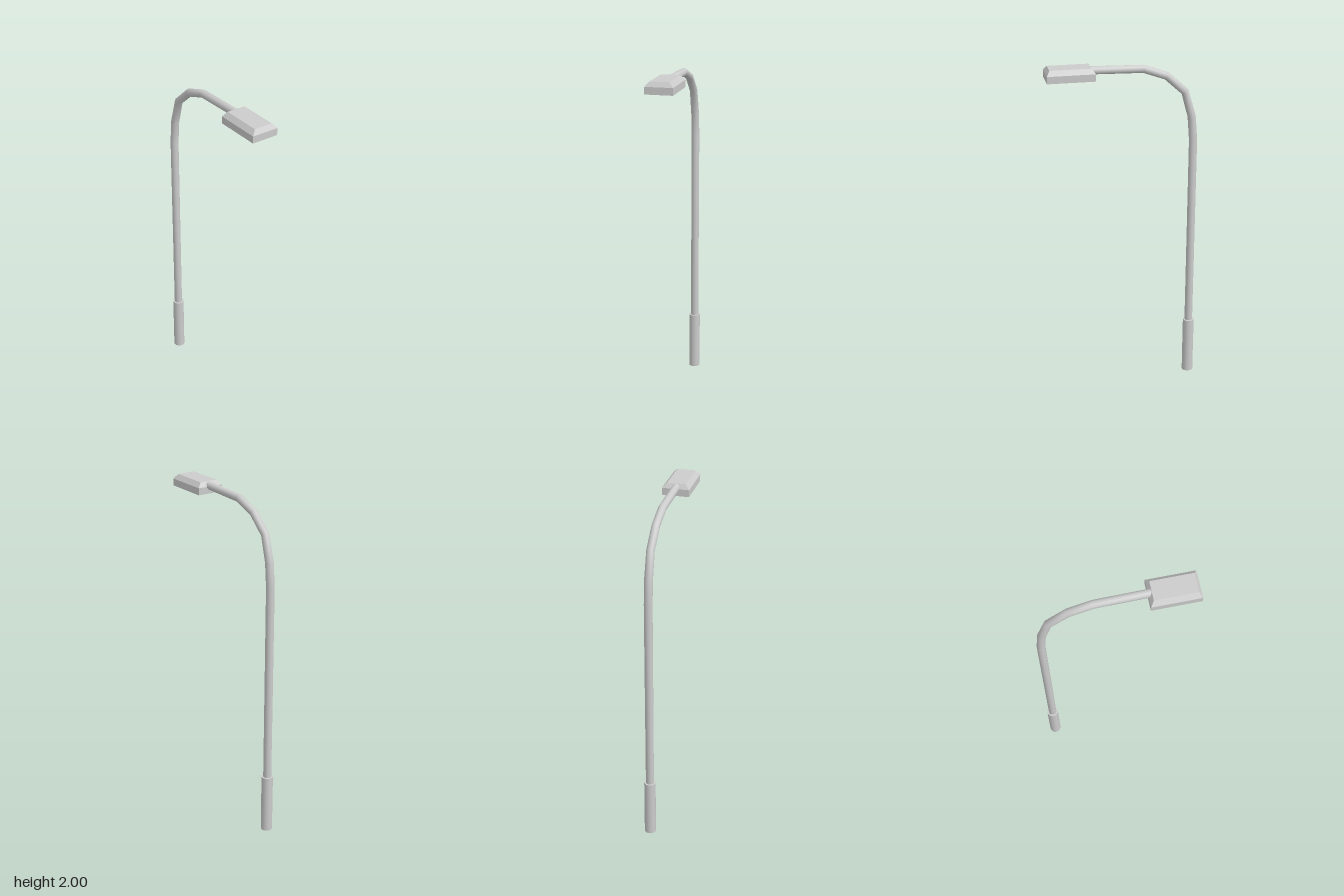
import * as THREE from 'three';

const SIDES = 16;
const POLE_Z = -0.41;

// Round tube along [z, y, radius] points in the x = 0 plane, with mitred rings
function bentTube(path) {
  const positions = [], index = [];
  path.forEach(([z, y, r], i) => {
    const dir = (a, b) => new THREE.Vector2(b[0] - a[0], b[1] - a[1]).normalize();
    const t = new THREE.Vector2();
    if (i > 0) t.add(dir(path[i - 1], path[i]));
    if (i < path.length - 1) t.add(dir(path[i], path[i + 1]));
    t.normalize();
    for (let j = 0; j < SIDES; j++) {
      const a = (j / SIDES) * Math.PI * 2;
      const c = r * Math.cos(a), s = r * Math.sin(a);
      positions.push(c, y + s * t.x, z - s * t.y);
      if (i < path.length - 1) {
        const p = i * SIDES + j, q = i * SIDES + ((j + 1) % SIDES);
        index.push(p, q, p + SIDES, q, q + SIDES, p + SIDES);
      }
    }
  });
  const g = new THREE.BufferGeometry();
  g.setAttribute('position', new THREE.Float32BufferAttribute(positions, 3));
  g.setIndex(index);
  g.computeVertexNormals();
  return g;
}

// Box with a straight lower band and a bevelled upper band
function lampHeadGeometry() {
  const g = new THREE.BoxGeometry(0.158, 2, 0.272, 1, 2, 1);
  const p = g.attributes.position;
  const heights = [1.932, 1.973, 2.0];
  for (let i = 0; i < p.count; i++) {
    const level = Math.round(p.getY(i)) + 1;
    p.setY(i, heights[level]);
    if (level === 2) {
      p.setX(i, Math.sign(p.getX(i)) * 0.055);
      p.setZ(i, Math.sign(p.getZ(i)) * 0.118);
    }
  }
  return g;
}

export function createModel() {
  const group = new THREE.Group();
  const smooth = new THREE.MeshStandardMaterial({ color: 0xcccccc, side: THREE.DoubleSide });
  const flat = new THREE.MeshStandardMaterial({ color: 0xcccccc, flatShading: true });
  const add = (name, geometry, material) => {
    const mesh = new THREE.Mesh(geometry, material);
    mesh.name = name;
    group.add(mesh);
    return mesh;
  };

  // Thick sleeve at the foot
  add('base', new THREE.CylinderGeometry(0.034, 0.034, 0.355, SIDES), smooth)
    .position.set(0, 0.1775, POLE_Z);

  // Upright that bends forward into the arm
  add('poleAndArm', bentTube([
    [POLE_Z, 0.34, 0.024],
    [POLE_Z, 1.53, 0.024],
    [-0.398, 1.672, 0.024],
    [-0.355, 1.822, 0.023],
    [-0.247, 1.92, 0.023],
    [-0.112, 1.968, 0.023],
    [0.19, 1.976, 0.023],
  ]), smooth);

  // Lamp housing at the end of the arm
  add('lampHead', lampHeadGeometry(), flat).position.z = 0.309;

  return group;
}
